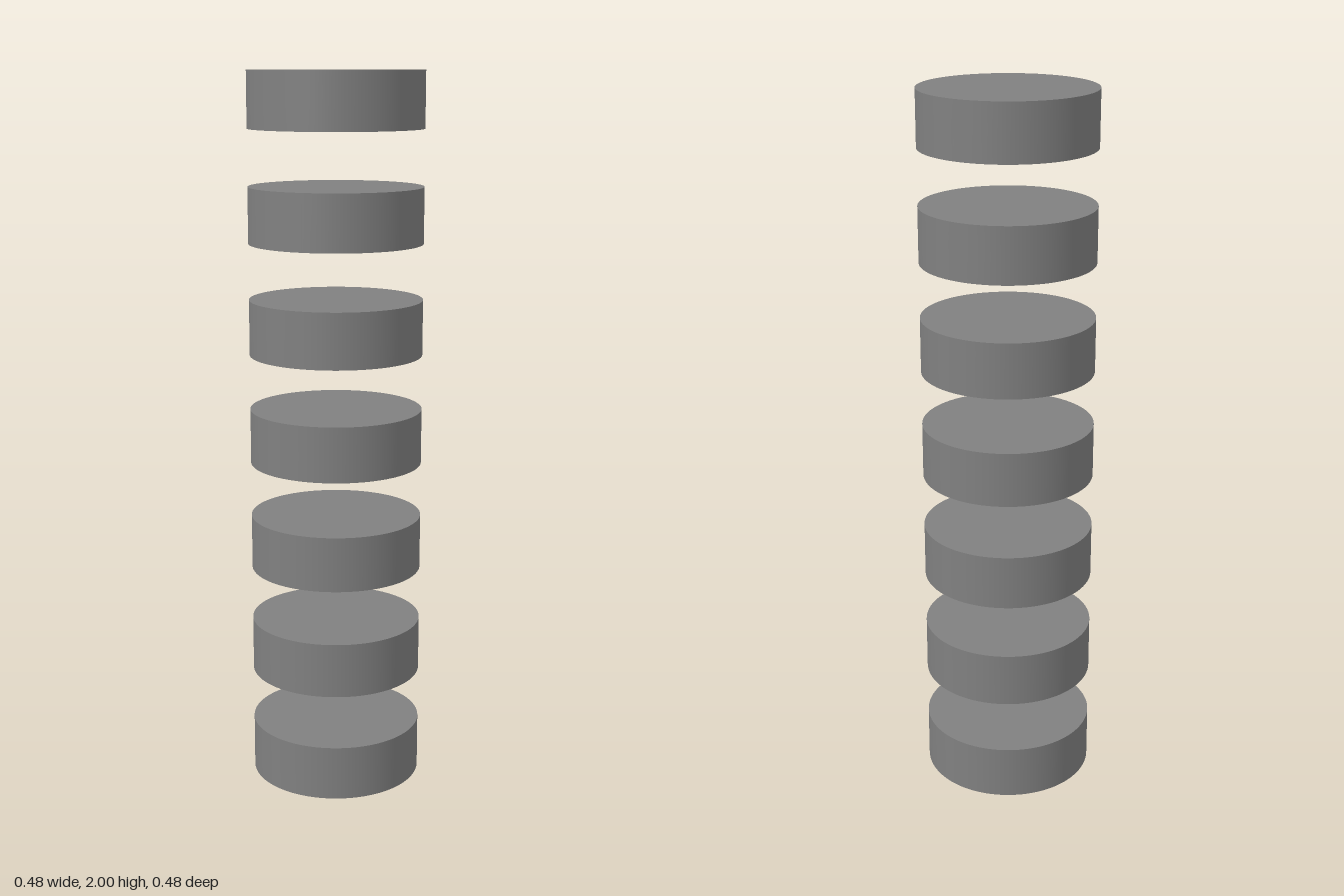
import * as THREE from 'three';

export function createModel() {
  const model = new THREE.Group();
  model.name = 'discColumn';

  const grey = new THREE.MeshStandardMaterial({ color: 0x808080 });
  grey.name = 'grey';

  // Seven equal discs, separated by gaps as tall as a disc
  const count = 7;
  const height = 2 / (2 * count - 1);
  const disc = new THREE.CylinderGeometry(0.24, 0.24, height, 96);

  for (let i = 0; i < count; i++) {
    const mesh = new THREE.Mesh(disc, grey);
    mesh.name = `disc${i + 1}`;
    mesh.position.y = height * (2 * i + 0.5);
    model.add(mesh);
  }
  return model;
}
